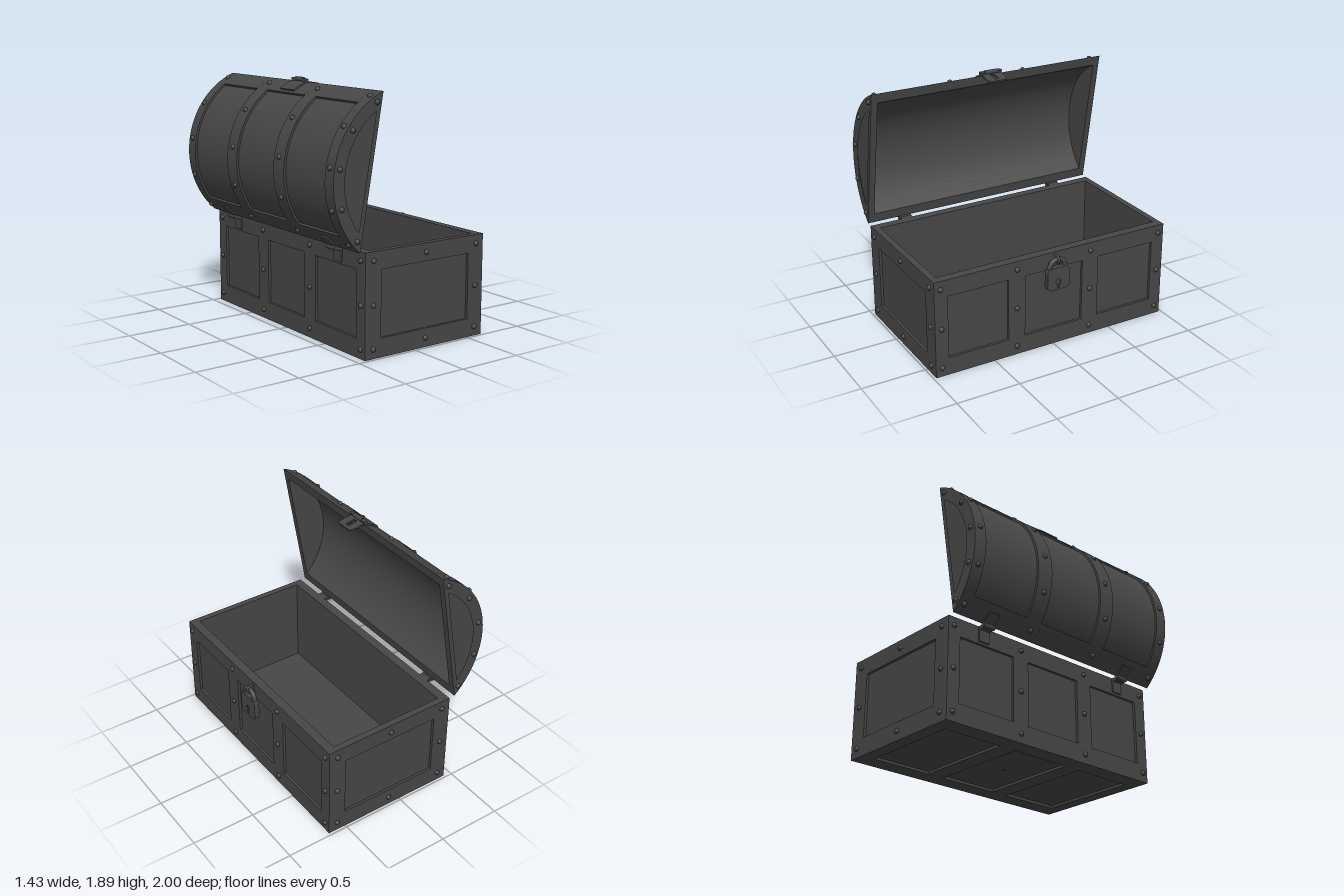
import * as THREE from 'three';
import { toCreasedNormals } from 'three/addons/utils/BufferGeometryUtils.js';

const mat = new THREE.MeshStandardMaterial({ color: 0x474747 });

function add(parent, name, geo, x = 0, y = 0, z = 0) {
  const m = new THREE.Mesh(geo, mat);
  m.name = name;
  m.position.set(x, y, z);
  parent.add(m);
  return m;
}

const box = (w, h, d) => new THREE.BoxGeometry(w, h, d);
const rivetGeo = new THREE.SphereGeometry(0.02, 12, 8);
const rivet = (parent, x, y, z) => add(parent, 'rivet', rivetGeo, x, y, z);

function extrude(shape, depth) {
  const g = new THREE.ExtrudeGeometry(shape, { depth, bevelEnabled: false, curveSegments: 16 });
  return toCreasedNormals(g, 0.5);
}

function tube(points, radius) {
  const path = new THREE.CatmullRomCurve3(points.map(p => new THREE.Vector3(...p)));
  return new THREE.TubeGeometry(path, 32, radius, 10);
}

const rectPoints = (x0, y0, x1, y1) =>
  [[x0, y0], [x1, y0], [x1, y1], [x0, y1]].map(p => new THREE.Vector2(...p));

// Flat board with rectangular openings
function board(w, h, depth, holes) {
  const s = new THREE.Shape(rectPoints(-w / 2, -h / 2, w / 2, h / 2));
  for (const r of holes) s.holes.push(new THREE.Path(rectPoints(...r)));
  return extrude(s, depth);
}

function roundedShape(x0, y0, x1, y1, r) {
  const s = new THREE.Shape();
  s.absarc(x1 - r, y0 + r, r, -Math.PI / 2, 0);
  s.absarc(x1 - r, y1 - r, r, 0, Math.PI / 2);
  s.absarc(x0 + r, y1 - r, r, Math.PI / 2, Math.PI);
  s.absarc(x0 + r, y0 + r, r, Math.PI, Math.PI * 1.5);
  return s;
}

// ---- Lid profile: a circular arc bulging to -x, cut by a straight chord ----
const CX = 0.333;
const R = 0.645;
const half = (r, inset = 0) => Math.acos((CX + inset) / r);
const onArc = (r, a) => new THREE.Vector2(CX - r * Math.cos(a), r * Math.sin(a));
function arcPoints(r, a0, a1, n = 28) {
  return Array.from({ length: n + 1 }, (_, i) => onArc(r, a0 + (a1 - a0) * i / n));
}
// Curved strip between two radii; a null angle runs to the rim
function strip(rOut, rIn, a0, a1, depth) {
  const lo = r => a0 ?? -half(r);
  const hi = r => a1 ?? half(r);
  return extrude(new THREE.Shape([
    ...arcPoints(rOut, lo(rOut), hi(rOut)),
    ...arcPoints(rIn, hi(rIn), lo(rIn)),
  ]), depth);
}

function makeBase() {
  const base = new THREE.Group();
  base.name = 'base';
  base.position.x = 0.103;
  const H = 0.765, y = H / 2;

  // Hollow inner box
  const walls = add(base, 'walls', board(1.04, 1.92, H - 0.01, [[-0.47, -0.93, 0.47, 0.93]]), 0, H, 0);
  walls.rotation.x = Math.PI / 2;
  add(base, 'floor', box(1.0, 0.03, 1.9), 0, 0.035, 0);

  // Raised frames leaving recessed panels
  const y0 = 0.14 - y, y1 = 0.633 - y;
  const longHoles = [[-0.875, y0, -0.385, y1], [-0.245, y0, 0.245, y1], [0.385, y0, 0.875, y1]];
  for (const s of [1, -1]) {
    add(base, 'longSideFrame', board(1.96, H, 0.02, longHoles), s * 0.52, y, 0).rotation.y = s * Math.PI / 2;
    add(base, 'endFrame', board(1.04, H, 0.02, [[-0.4, y0, 0.4, y1]]), 0, y, s * 0.96)
      .rotation.y = s > 0 ? 0 : Math.PI;
  }
  const bottomHoles = [[-0.4, -0.875, 0.4, -0.385], [-0.4, -0.245, 0.4, 0.245], [-0.4, 0.385, 0.4, 0.875]];
  add(base, 'bottomFrame', board(1.04, 1.92, 0.02, bottomHoles), 0, 0.02, 0).rotation.x = Math.PI / 2;
  add(base, 'bottomStud', new THREE.SphereGeometry(0.01, 10, 6), 0, 0.02, 0);

  // Rivets
  for (const s of [1, -1]) for (const ry of [0.07, 0.385, 0.7]) {
    for (const z of [-0.93, -0.315, 0.315, 0.93]) rivet(base, s * 0.54, ry, z);
    for (const x of [-0.47, 0, 0.47]) if (x || ry !== 0.385) rivet(base, x, ry, s * 0.98);
  }

  // Hinge leaves, arms and pins
  for (const z of [-0.67, 0.67]) {
    add(base, 'hingeLeaf', box(0.014, 0.11, 0.09), -0.546, 0.705, z);
    add(base, 'hingeArm', box(0.05, 0.025, 0.09), -0.562, 0.75, z);
    add(base, 'hingePin', new THREE.CylinderGeometry(0.018, 0.018, 0.1, 16), -0.595, 0.757, z).rotation.x = Math.PI / 2;
  }
  return base;
}

function makeLid() {
  const lid = new THREE.Group();
  lid.name = 'lid';
  lid.position.set(-0.387, 1.312, 0);
  lid.rotation.z = -0.173;

  // Barrel shell, hoops and edge rails
  add(lid, 'barrel', strip(0.628, 0.582, null, null, 1.92), 0, 0, -0.96);
  const hoops = [[-0.98, -0.88], [-0.385, -0.25], [0.25, 0.385], [0.88, 0.98]];
  hoops.forEach(([z0, z1], i) => {
    add(lid, 'hoop', strip(R, 0.6, null, null, z1 - z0), 0, 0, z0);
    if (i === 3) return;
    const gap = hoops[i + 1][0] - z1;
    add(lid, 'upperRail', strip(R, 0.61, 0.785, null, gap), 0, 0, z1);
    add(lid, 'lowerRail', strip(R, 0.61, null, -0.785, gap), 0, 0, z1);
  });

  // End walls with a recessed panel
  const segment = (r, inset) => arcPoints(r, -half(r, inset), half(r, inset));
  const wall = new THREE.Shape(segment(0.6, 0));
  const frame = new THREE.Shape(segment(0.602, 0));
  frame.holes.push(new THREE.Path(segment(0.553, 0.035)));
  for (const s of [1, -1]) {
    add(lid, 'endWall', extrude(wall, 0.03), 0, 0, s > 0 ? 0.93 : -0.96);
    add(lid, 'endFrame', extrude(frame, 0.02), 0, 0, s > 0 ? 0.96 : -0.98);
  }

  // Rivets on hoops and ends
  for (const a of [-0.905, -0.455, 0, 0.455, 0.905]) {
    const p = onArc(R, a), q = onArc(0.603, a);
    for (const z of [-0.93, -0.315, 0.315, 0.93]) rivet(lid, p.x, p.y, z);
    for (const z of [-0.98, 0.98]) rivet(lid, q.x, q.y, z);
  }

  // Hinge leaves following the curve
  for (const z of [-0.67, 0.67])
    add(lid, 'lidHingeLeaf', strip(0.657, 0.635, null, -0.87, 0.09), 0, 0, z - 0.045);

  // Hasp: curved plate, lugs, knuckle and slotted flap
  add(lid, 'haspPlate', strip(0.657, 0.635, 0.82, null, 0.18), 0, 0, -0.09);
  for (const z of [-0.07, 0.07]) add(lid, 'haspLug', box(0.026, 0.03, 0.04), -0.014, 0.56, z);
  add(lid, 'haspKnuckle', new THREE.CylinderGeometry(0.017, 0.017, 0.1, 16), -0.014, 0.567, 0).rotation.x = Math.PI / 2;
  const flap = roundedShape(-0.02, -0.08, 0.12, 0.08, 0.03);
  flap.holes.push(new THREE.Path(rectPoints(0.015, -0.018, 0.092, 0.018)));
  add(lid, 'haspFlap', extrude(flap, 0.012), 0, 0.558, 0).rotation.x = Math.PI / 2;
  return lid;
}

function makePadlock() {
  const lock = new THREE.Group();
  lock.name = 'padlock';
  lock.position.set(0.683, 0, 0);
  lock.rotation.y = Math.PI / 2;

  // Body with a sunken keyhole on both faces
  const body = roundedShape(-0.093, 0.485, 0.093, 0.665, 0.035);
  const keyhole = new THREE.Path();
  keyhole.absarc(0, 0.55, 0.022, -1.1, Math.PI + 1.1, false);
  keyhole.lineTo(-0.008, 0.5);
  keyhole.lineTo(0.008, 0.5);
  add(lock, 'lockCore', extrude(body, 0.024), 0, 0, -0.012);
  const face = body.clone();
  face.holes.push(keyhole);
  add(lock, 'lockFace', extrude(face, 0.01), 0, 0, 0.011);
  add(lock, 'lockBack', extrude(face, 0.01), 0, 0, -0.021);

  // Shackle
  add(lock, 'shackle', tube([
    [-0.066, 0.64, 0], [-0.064, 0.675, 0], [-0.044, 0.709, 0], [0, 0.724, 0],
    [0.044, 0.709, 0], [0.064, 0.675, 0], [0.066, 0.64, 0],
  ], 0.019));

  // Staple looping from the chest front around the shackle
  add(lock, 'staple', tube([
    [0, 0.745, -0.05], [0, 0.747, -0.01], [0, 0.742, 0.015], [0, 0.722, 0.025],
    [0, 0.7, 0.015], [0, 0.695, -0.01], [0, 0.697, -0.05],
  ], 0.009));
  return lock;
}

export function createModel() {
  const chest = new THREE.Group();
  chest.name = 'chest';
  chest.add(makeBase(), makeLid(), makePadlock());
  return chest;
}
